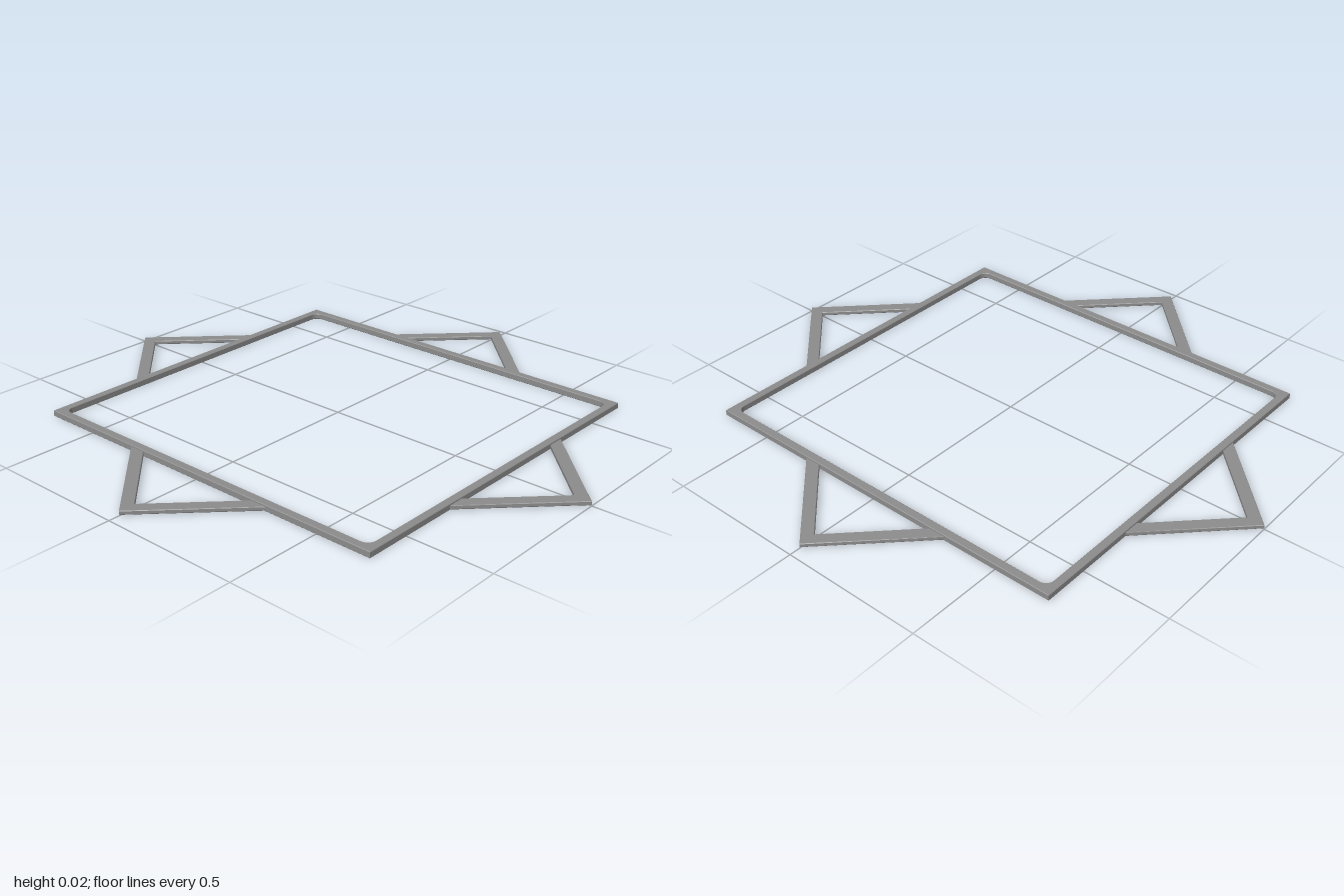
import * as THREE from 'three';

const steel = new THREE.MeshStandardMaterial({ color: 0x8c8c8c });
steel.name = 'grey steel';

// Flat bar work: extrude a plan outline upward from y0 to y1 with a slim chamfer
function plate(name, shape, y0, y1, chamfer) {
  const geometry = new THREE.ExtrudeGeometry(shape, {
    depth: y1 - y0 - 2 * chamfer,
    bevelEnabled: true,
    bevelThickness: chamfer,
    bevelSize: chamfer,
    bevelOffset: -chamfer,
    bevelSegments: 1,
    curveSegments: 5,
  });
  geometry.translate(0, 0, chamfer + y0);
  geometry.rotateX(-Math.PI / 2);
  const mesh = new THREE.Mesh(geometry, steel);
  mesh.name = name;
  return mesh;
}

// Rectangle path with rounded corners
function roundedRect(path, w, d, r) {
  path.moveTo(-w + r, -d);
  path.absarc(w - r, -d + r, r, -Math.PI / 2, 0);
  path.absarc(w - r, d - r, r, 0, Math.PI / 2);
  path.absarc(-w + r, d - r, r, Math.PI / 2, Math.PI);
  path.absarc(-w + r, -d + r, r, Math.PI, Math.PI * 1.5);
  return path;
}

export function createModel() {
  const model = new THREE.Group();
  model.name = 'starFrame';

  // Main frame with sharp outer and rounded inner corners
  const w = 0.662, d = 0.702;
  const outline = new THREE.Shape([[-w, -d], [w, -d], [w, d], [-w, d]]
    .map(([x, y]) => new THREE.Vector2(x, y)));
  outline.holes.push(roundedRect(new THREE.Path(), 0.633, 0.674, 0.03));
  model.add(plate('mainFrame', outline, 0, 0.022, 0.002));

  // Pointed brackets, ends tucked into the frame on each side
  const sides = [
    ['frontPoint', 1, 0],
    ['leftPoint', 0.962, Math.PI / 2],
    ['backPoint', 1, Math.PI],
    ['rightPoint', 0.962, -Math.PI / 2],
  ];
  for (const [name, tip, turn] of sides) {
    const run = 0.313, bar = 0.06;
    const base = tip - run;
    const chevron = new THREE.Shape([
      [0, -tip], [run, -base], [run - bar, -base],
      [0, -tip + bar], [bar - run, -base], [-run, -base],
    ].map(([x, y]) => new THREE.Vector2(x, y)));
    const point = plate(name, chevron, 0.002, 0.016, 0.002);
    point.rotation.y = turn;
    model.add(point);
  }
  return model;
}
